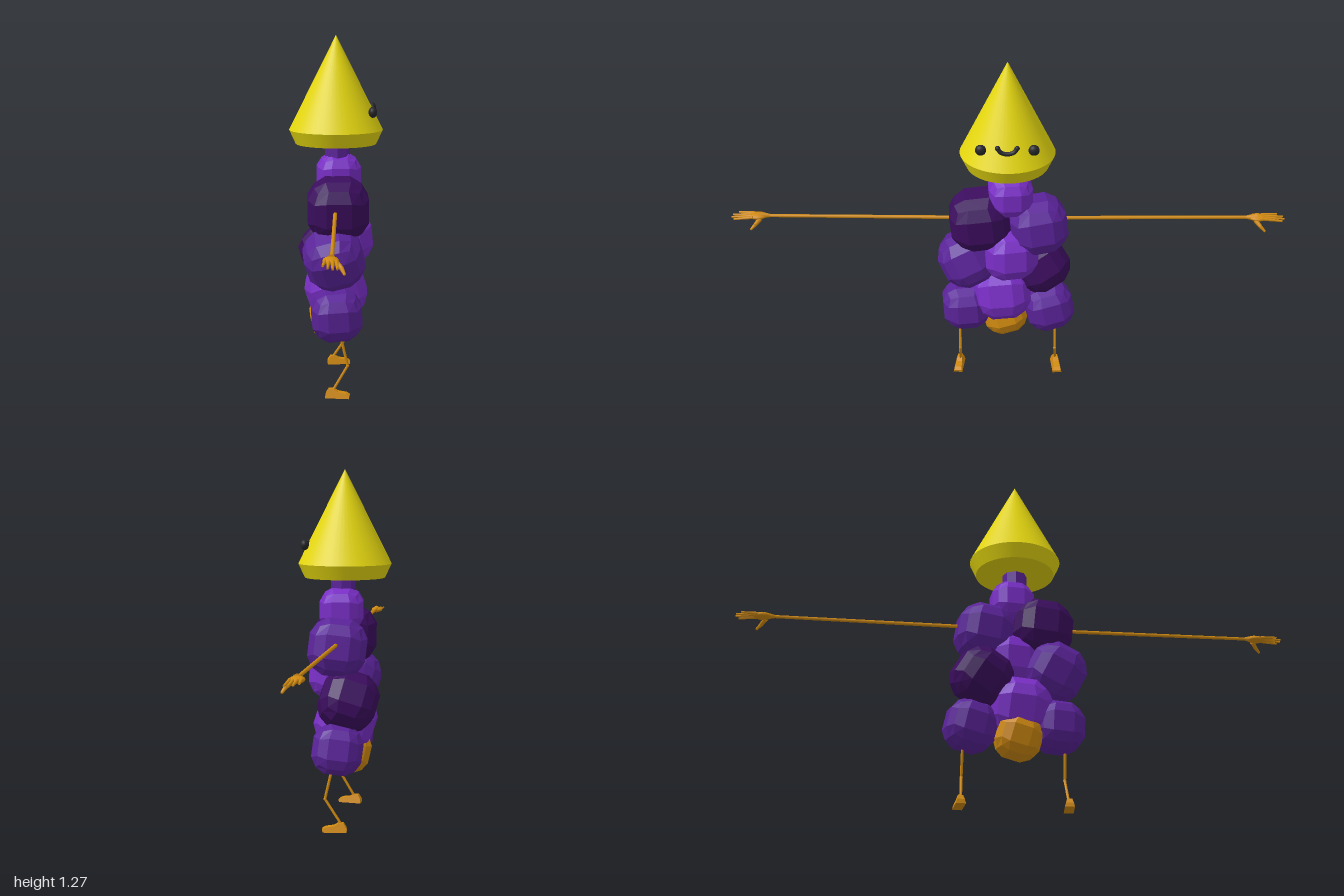
import * as THREE from 'three';

const mat = (name, color, flatShading = false) => {
  const m = new THREE.MeshStandardMaterial({ color, flatShading });
  m.name = name;
  return m;
};

export function createModel() {
  const model = new THREE.Group();
  model.name = 'grapeFigure';
  const yellow = mat('yellow', 0xe6d810);
  const light = mat('light purple', 0x792ec6, true);
  const medium = mat('medium purple', 0x5a2399, true);
  const dark = mat('dark purple', 0x3b0d5e, true);
  const orange = mat('orange', 0xd08a10);
  const orangeFlat = mat('faceted orange', 0xd08a10, true);
  const black = mat('black', 0x26262a);

  const add = (name, geo, material, parent = model) => {
    const mesh = new THREE.Mesh(geo, material);
    mesh.name = name;
    parent.add(mesh);
    return mesh;
  };
  const V = (x, y, z) => new THREE.Vector3(x, y, z);

  // Faceted berry: a 3x3 cube pushed out to a sphere, with wide middle faces
  const berryGeo = new THREE.BoxGeometry(2, 2, 2, 3, 3, 3);
  const p = berryGeo.attributes.position;
  const widen = (c) => (Math.abs(c) < 0.5 ? Math.sign(c) * 0.41 : c);
  for (let i = 0; i < p.count; i++) {
    const v = V(widen(p.getX(i)), widen(p.getY(i)), widen(p.getZ(i))).normalize();
    p.setXYZ(i, v.x, v.y, v.z);
  }
  berryGeo.computeVertexNormals();

  // Body cluster: position, radius, material, rotation
  const berries = [
    [0.01, 0.775, -0.01, 0.09, light, [0, 0.1, 0]],
    [0.008, 0.67, 0.1, 0.124, dark, [0.1, 0.05, 0]],
    [0.01, 0.65, -0.11, 0.118, medium, [0.12, 0.15, 0.1]],
    [0.03, 0.545, -0.01, 0.112, light, [0, 0.2, 0.1]],
    [-0.005, 0.5, 0.145, 0.118, medium, [0.45, 0.1, 0.25]],
    [-0.03, 0.46, -0.12, 0.116, dark, [0.5, 0.3, 0.2]],
    [0, 0.36, 0.02, 0.122, light, [0.1, 0, 0.3]],
    [0.004, 0.295, 0.155, 0.102, medium, [0.05, 0.1, 0.05]],
    [0.004, 0.29, -0.155, 0.102, medium, [0.2, 0.2, 0.1]],
    [-0.012, 0.25, 0.012, 0.092, orangeFlat, [0.25, 0.1, 0.2]],
  ];
  for (const [x, y, z, r, material, rot] of berries) {
    const b = add('berry', berryGeo, material);
    b.position.set(x, y, z);
    b.scale.setScalar(r);
    b.rotation.set(...rot);
  }
  add('neck', new THREE.CylinderGeometry(0.045, 0.045, 0.08, 8), medium).position.set(0.006, 0.87, 0);

  // Cone head with a tapered brim and closed base
  const cone = add('headCone', new THREE.CylinderGeometry(0, 0.168, 0.335, 48, 1, true), yellow);
  cone.position.y = 1.1075;
  const brim = add('headBrim', new THREE.CylinderGeometry(0.168, 0.145, 0.05, 48), yellow);
  brim.position.y = 0.915;

  // Face looks along +x
  for (const s of [1, -1]) {
    const eye = add('eye', new THREE.SphereGeometry(0.019, 16, 12), black);
    eye.position.set(0.13, 1.01, s * 0.09);
    eye.scale.x = 0.8;
    add('mouthEnd', new THREE.SphereGeometry(0.009, 12, 8), black).position.set(0.131, 1.017, s * 0.033);
  }
  const smile = new THREE.CatmullRomCurve3([
    V(0.131, 1.017, 0.033), V(0.134, 1.003, 0.022), V(0.136, 0.998, 0),
    V(0.134, 1.003, -0.022), V(0.131, 1.017, -0.033),
  ]);
  add('mouth', new THREE.TubeGeometry(smile, 24, 0.008, 8), black);

  // Tapered limb between two points
  const limb = (name, a, b, ra, rb, parent) => {
    const dir = b.clone().sub(a);
    const m = add(name, new THREE.CylinderGeometry(rb, ra, dir.length(), 8), orange, parent);
    m.position.copy(a).add(b).multiplyScalar(0.5);
    m.quaternion.setFromUnitVectors(V(0, 1, 0), dir.normalize());
  };
  const blob = (name, pos, size, parent) => {
    const m = add(name, new THREE.SphereGeometry(1, 12, 8), orange, parent);
    m.position.copy(pos);
    m.scale.set(...size);
    return m;
  };

  for (const s of [1, -1]) {
    // Arm and hand
    const arm = new THREE.Group();
    arm.name = s > 0 ? 'frontArm' : 'backArm';
    model.add(arm);
    limb('armRod', V(0, 0.67, s * 0.12), V(0, 0.675, s * 0.88), 0.007, 0.006, arm);
    limb('wrist', V(0, 0.675, s * 0.86), V(-0.002, 0.675, s * 0.9), 0.006, 0.015, arm);
    blob('palm', V(-0.003, 0.673, s * 0.905), [0.024, 0.011, 0.034], arm);
    [[-0.024, 0.978], [-0.01, 0.997], [0.004, 1.0], [0.017, 0.99]].forEach(([x, z], i) => {
      limb('finger', V(x * 0.8, 0.675, s * 0.92), V(x, 0.675 - 0.002 * i, s * z), 0.006, 0.0035, arm);
    });
    limb('thumb', V(0.01, 0.668, s * 0.895), V(0.028, 0.652, s * 0.912), 0.009, 0.007, arm);
    limb('thumbTip', V(0.028, 0.652, s * 0.912), V(0.037, 0.637, s * 0.928), 0.007, 0.004, arm);

    // Leg and foot
    const leg = new THREE.Group();
    leg.name = s > 0 ? 'frontLeg' : 'backLeg';
    model.add(leg);
    const dx = s > 0 ? 0 : -0.008;
    const hip = V(0.015, 0.24, s * 0.18);
    const knee = V(0.044, 0.115, s * 0.181);
    const ankle = V(-0.008 + dx, 0.025, s * 0.185);
    limb('thigh', hip, knee, 0.005, 0.005, leg);
    limb('shin', knee, ankle, 0.005, 0.005, leg);
    blob('knee', knee, [0.006, 0.006, 0.006], leg);
    // Side profile of the foot, toes toward +x
    const side = new THREE.Shape([
      [-0.035, 0], [0.05, 0], [0.052, 0.01], [0.04, 0.017], [0.01, 0.022],
      [-0.005, 0.032], [-0.024, 0.032], [-0.034, 0.015],
    ].map(([x, y]) => new THREE.Vector2(x, y)));
    const footGeo = new THREE.ExtrudeGeometry(side, { depth: 0.03, bevelEnabled: false });
    footGeo.translate(0, 0, -0.015);
    // Narrow the foot toward its top
    const q = footGeo.attributes.position;
    for (let i = 0; i < q.count; i++) q.setZ(i, q.getZ(i) * (1.15 - 18 * q.getY(i)));
    footGeo.computeVertexNormals();
    const foot = add('foot', footGeo, orange, leg);
    foot.position.z = s * 0.188;
    foot.rotation.y = -s * 0.1;
  }
  return model;
}
